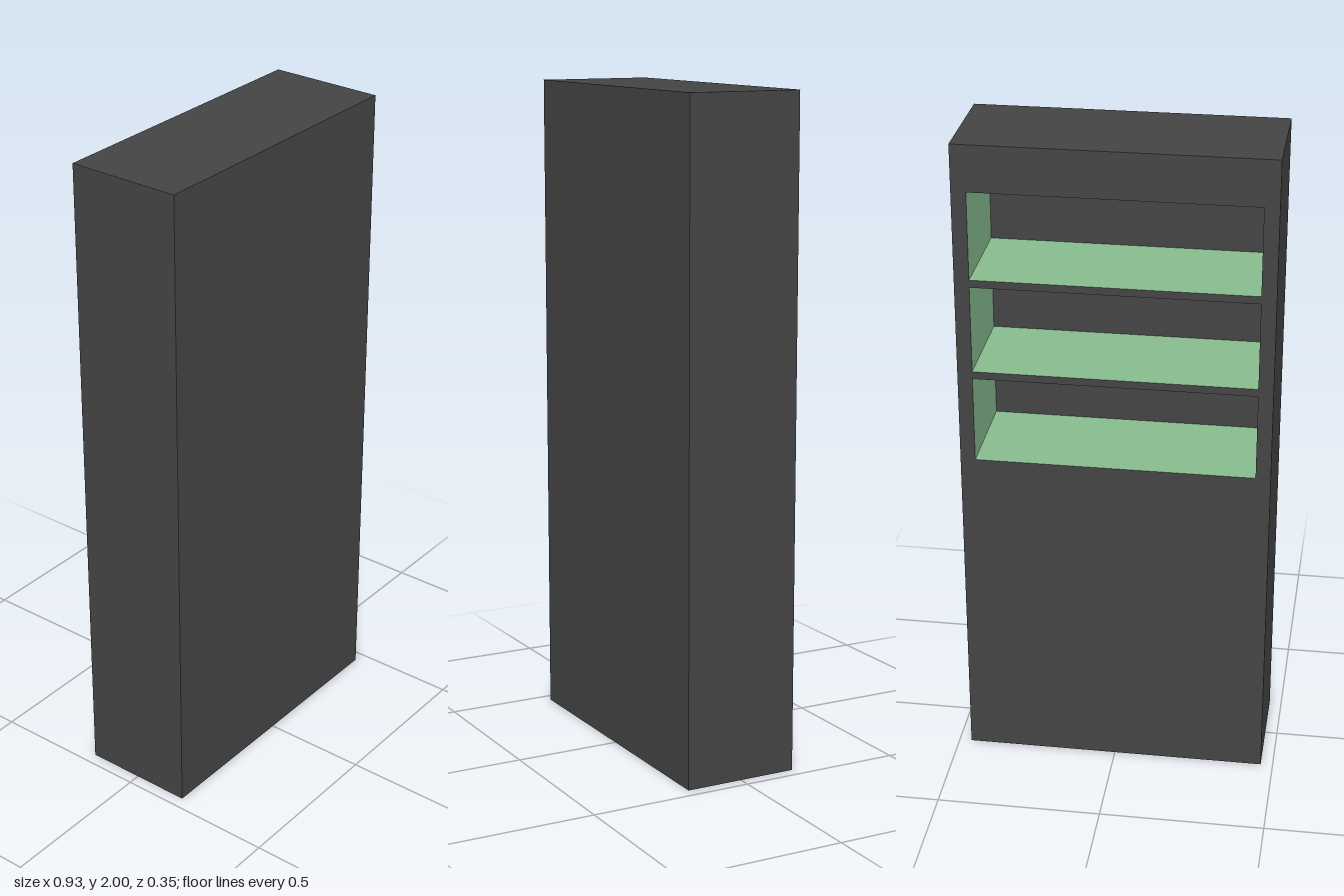
import * as THREE from 'three';

const W = 0.925, H = 2, D = 0.352;
const PANEL = 0.026;               // closed front panel thickness
const DEPTH = D - PANEL;           // niche depth
const NICHE = { w: 0.84, h: 0.27, bottoms: [1.014, 1.303, 1.592] };
const LINING = 0.002;

const dark = new THREE.MeshStandardMaterial({ color: 0x444444 });
const green = new THREE.MeshStandardMaterial({ color: 0x88bb8e });

// Rectangle centred on x = 0, drawn on a Shape or a Path
function rect(Type, w, y0, y1) {
  return new Type([
    new THREE.Vector2(-w / 2, y0), new THREE.Vector2(w / 2, y0),
    new THREE.Vector2(w / 2, y1), new THREE.Vector2(-w / 2, y1),
  ]);
}

// Extrude from the back face forwards to the front panel
function extrudeFromBack(name, shape, material) {
  const geometry = new THREE.ExtrudeGeometry(shape, { depth: DEPTH, bevelEnabled: false });
  geometry.translate(0, 0, -D / 2);
  const mesh = new THREE.Mesh(geometry, material);
  mesh.name = name;
  return mesh;
}

export function createModel() {
  const cabinet = new THREE.Group();
  cabinet.name = 'cabinet';

  // Carcass with three niches open at the back
  const carcass = rect(THREE.Shape, W, 0, H);
  for (const y of NICHE.bottoms) carcass.holes.push(rect(THREE.Path, NICHE.w, y, y + NICHE.h));
  cabinet.add(extrudeFromBack('carcass', carcass, dark));

  // Thin coloured lining around each niche, with dark edges
  NICHE.bottoms.forEach((y, i) => {
    const ring = rect(THREE.Shape, NICHE.w, y, y + NICHE.h);
    ring.holes.push(rect(THREE.Path, NICHE.w - 2 * LINING, y + LINING, y + NICHE.h - LINING));
    cabinet.add(extrudeFromBack(`nicheLining${i + 1}`, ring, [dark, green]));
  });

  // Plain panel closing the front
  const front = new THREE.Mesh(new THREE.BoxGeometry(W, H, PANEL), dark);
  front.name = 'frontPanel';
  front.position.set(0, H / 2, D / 2 - PANEL / 2);
  cabinet.add(front);

  return cabinet;
}
